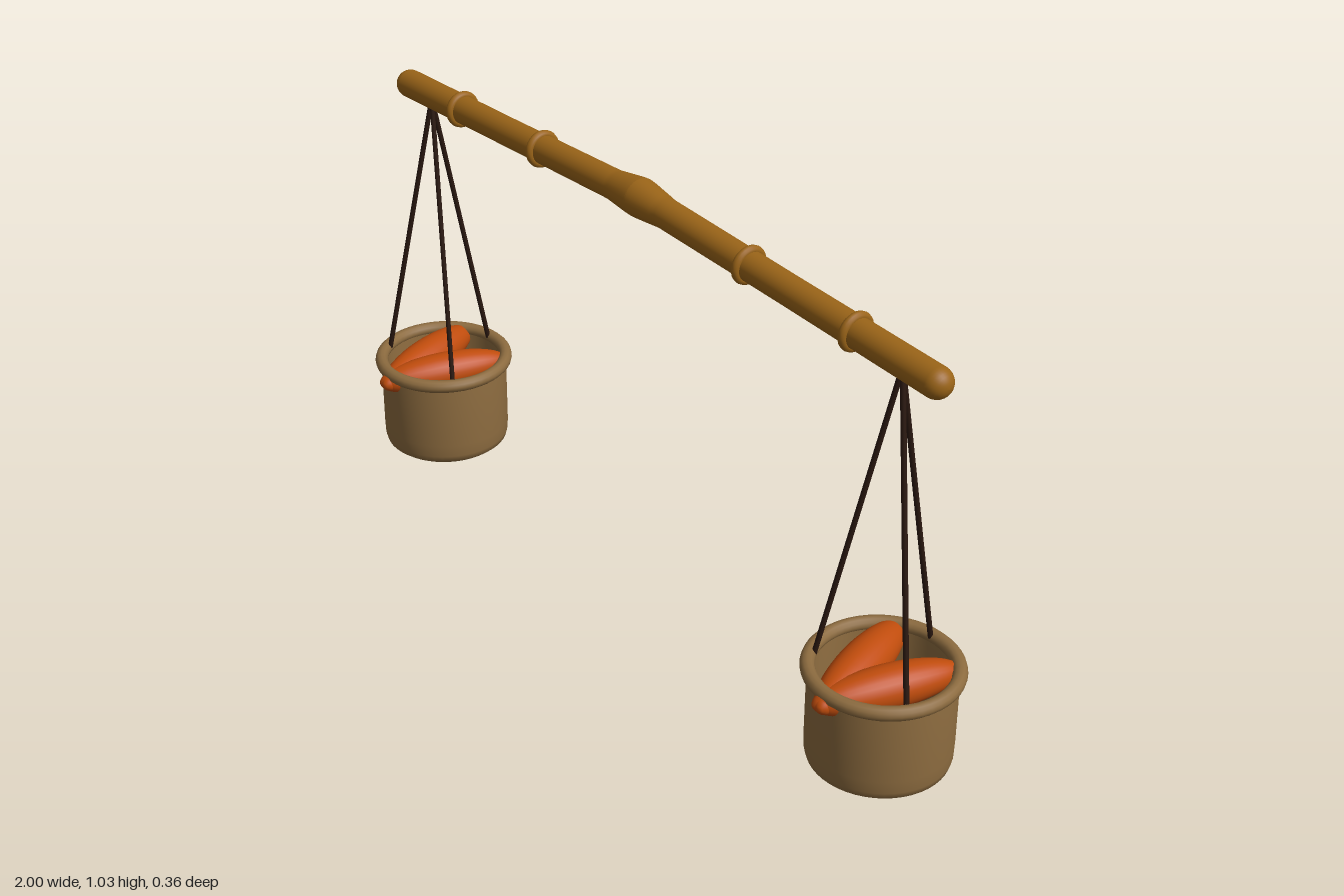
import * as THREE from 'three';

const Z = -0.007; // shared depth of pole and buckets
const material = (color, side = THREE.FrontSide) => new THREE.MeshStandardMaterial({ color, side });
const wood = material(0x9a6418);
const bucketMat = material(0x8c6b3f);
const ropeMat = material(0x2a1810);
const foodMat = material(0xc04c0c);

function mesh(name, geometry, mat) {
  const m = new THREE.Mesh(geometry, mat);
  m.name = name;
  return m;
}

const points = (list) => list.map(([x, y]) => new THREE.Vector2(x, y));

// Turn a part that lies along y so that it runs from a to b
function align(part, a, b) {
  part.position.copy(a).lerp(b, 0.5);
  part.quaternion.setFromUnitVectors(new THREE.Vector3(0, 1, 0), b.clone().sub(a).normalize());
  return part;
}

// One arm of the pole, built along +y with the thick middle at the origin
function poleArm(side) {
  const arm = new THREE.Group();
  arm.name = side > 0 ? 'leftPoleArm' : 'rightPoleArm';
  const profile = [[0.044, -0.002], [0.043, 0.015], [0.036, 0.075], [0.034, 0.09], [0.033, 0.5], [0.034, 0.92]];
  for (let i = 1; i <= 8; i++) {
    const t = (i / 8) * Math.PI / 2;
    profile.push([0.034 * Math.cos(t), 0.92 + 0.034 * Math.sin(t)]);
  }
  arm.add(mesh('poleShaft', new THREE.LatheGeometry(points(profile), 32), wood));
  // Bamboo nodes
  for (const y of [0.365, 0.692]) {
    const node = mesh('poleNode', new THREE.TorusGeometry(0.034, 0.01, 12, 32), wood);
    node.rotation.x = Math.PI / 2;
    node.position.y = y;
    arm.add(node);
  }
  arm.position.set(0, 0.987, Z);
  arm.rotation.z = -side * (Math.PI / 2 + 0.042);
  return arm;
}

// Hollow bucket with rolled rim, ropes and the food inside
function hangingBucket(side) {
  const g = new THREE.Group();
  g.name = side > 0 ? 'leftBucket' : 'rightBucket';
  g.position.set(side * 0.827, 0, Z);

  const profile = points([
    [0, 0.003], [0.125, 0.003], [0.142, 0.006], [0.153, 0.015], [0.157, 0.03], [0.158, 0.06],
    [0.158, 0.235], [0.143, 0.235], [0.143, 0.04], [0.135, 0.03], [0, 0.03],
  ]);
  g.add(mesh('bucketBody', new THREE.LatheGeometry(profile, 48), bucketMat));
  const rim = mesh('bucketRim', new THREE.TorusGeometry(0.157, 0.016, 12, 48), bucketMat);
  rim.rotation.x = Math.PI / 2;
  rim.position.y = 0.235;
  g.add(rim);

  // Three ropes spread evenly from the pole to the rim
  const top = new THREE.Vector3(0, 0.94, 0);
  for (let i = 0; i < 3; i++) {
    const a = -Math.PI / 2 - 0.1 + (i * Math.PI * 2) / 3;
    const foot = new THREE.Vector3(Math.cos(a) * 0.147, 0.235, Math.sin(a) * 0.147);
    const rope = mesh('rope', new THREE.CylinderGeometry(0.006, 0.006, top.distanceTo(foot), 10), ropeMat);
    g.add(align(rope, top, foot));
  }

  // Two long roots laid in a V, meeting at the front
  const roots = [
    [[-0.108, 0.218, -0.148], [0.012, 0.215, 0.186]],
    [[0.088, 0.222, -0.135], [-0.008, 0.215, 0.186]],
  ];
  for (const [back, front] of roots) {
    const a = new THREE.Vector3(...back), b = new THREE.Vector3(...front);
    const root = mesh('root', new THREE.SphereGeometry(1, 28, 20), foodMat);
    root.scale.set(0.05, a.distanceTo(b) / 2, 0.048);
    g.add(align(root, a, b));
  }
  return g;
}

export function createModel() {
  const model = new THREE.Group();
  model.name = 'carryingPole';
  for (const side of [-1, 1]) model.add(poleArm(side), hangingBucket(side));
  return model;
}
